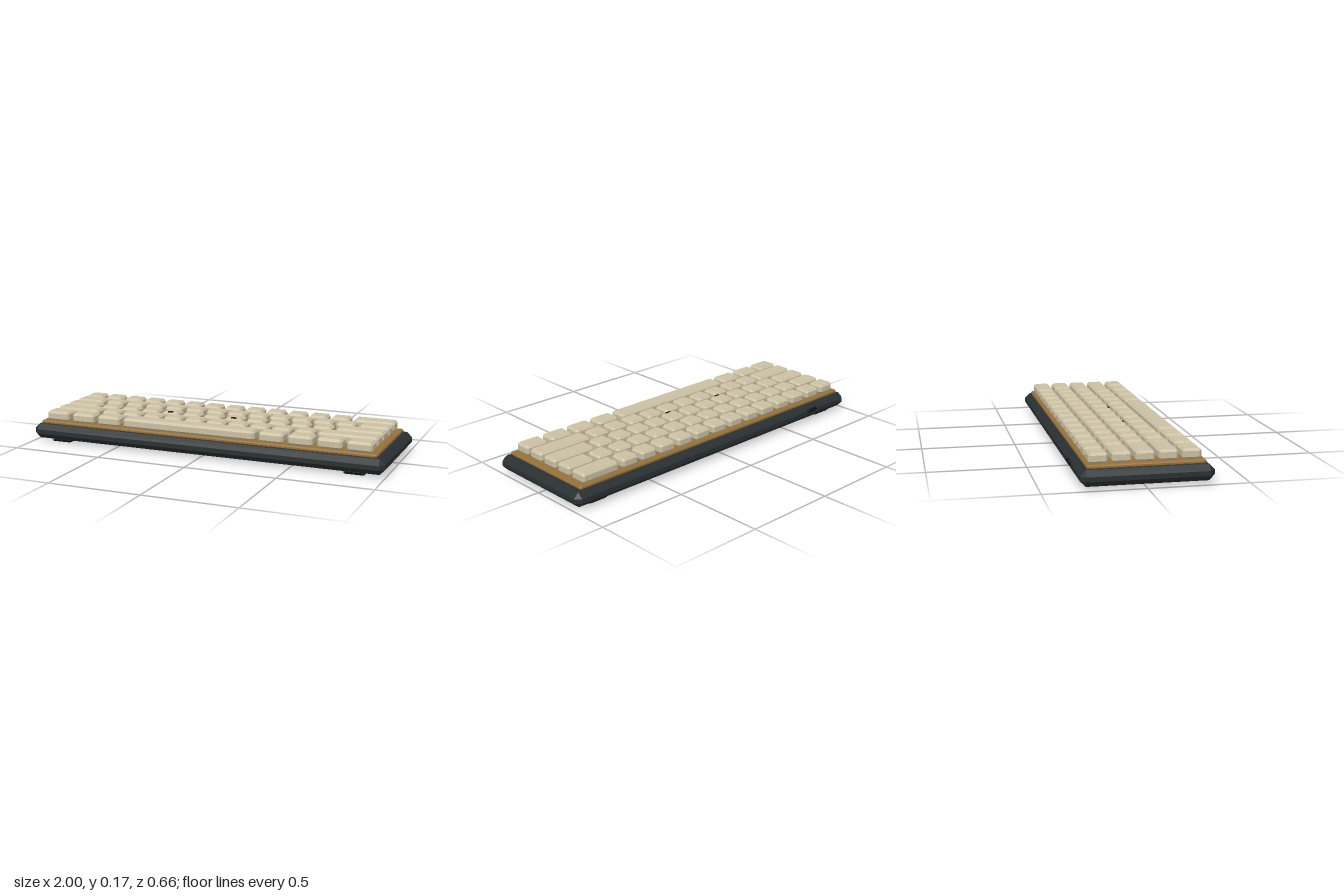
import * as THREE from 'three';
import { ConvexGeometry } from 'three/addons/geometries/ConvexGeometry.js';

const material = (color) => new THREE.MeshStandardMaterial({ color, flatShading: true });

// Box with every edge cut by a single flat chamfer c
function chamferBox(w, h, d, c) {
  const points = [];
  for (const x of [-1, 1]) for (const y of [-1, 1]) for (const z of [-1, 1]) {
    const [X, Y, Z] = [w / 2, h / 2, d / 2];
    points.push(
      new THREE.Vector3(x * X, y * (Y - c), z * (Z - c)),
      new THREE.Vector3(x * (X - c), y * Y, z * (Z - c)),
      new THREE.Vector3(x * (X - c), y * (Y - c), z * Z));
  }
  return new ConvexGeometry(points);
}

// Chamfered block given by its [min, max] range on each axis
function block(parent, name, [x0, x1], [y0, y1], [z0, z1], chamfer, mat) {
  const mesh = new THREE.Mesh(chamferBox(x1 - x0, y1 - y0, z1 - z0, chamfer), mat);
  mesh.position.set((x0 + x1) / 2, (y0 + y1) / 2, (z0 + z1) / 2);
  mesh.name = name;
  parent.add(mesh);
  return mesh;
}

export function createModel() {
  const model = new THREE.Group();
  model.name = 'keyboard';
  const caseMat = material(0x2a3032);
  const plateMat = material(0x94713c);
  const keyMat = material(0xcbc0a3);
  const blackMat = material(0x121314);

  // Case and mounting plate
  block(model, 'case', [-1, 1], [0.016, 0.096], [-0.316, 0.331], 0.028, caseMat);
  block(model, 'plate', [-0.963, 0.953], [0.094, 0.114], [-0.281, 0.295], 0.006, plateMat);

  // Four rubber feet
  for (const x of [-0.84, 0.84]) {
    for (const z of [[-0.275, -0.193], [0.214, 0.297]]) {
      block(model, 'foot', [x - 0.056, x + 0.056], [0, 0.018], z, 0.005, blackMat);
    }
  }

  // Cable socket on the rear edge
  block(model, 'socket', [-0.732, -0.664], [0.06, 0.082], [-0.33, -0.314], 0.005, blackMat);

  // Key rows from back to front, widths in key units
  const ones = (n) => Array(n).fill(1);
  const rows = [
    [...ones(13), 2],
    [1.5, ...ones(12), 1.5],
    [1.75, ...ones(11), 2.25],
    [2.25, ...ones(10), 2.75],
    [1.25, 1.25, 1.25, 6.25, 1.25, 1.25, 1.25, 1.25],
  ];
  const unit = 0.1257, gap = 0.024, left = -0.949, pitch = 0.1128, depth = 0.094;
  const keys = new THREE.Group();
  keys.name = 'keys';
  model.add(keys);
  rows.forEach((widths, r) => {
    const z = -0.2205 + r * pitch;
    let x = left;
    for (const w of widths) {
      const end = x + w * unit;
      block(keys, w > 6 ? 'spaceBar' : 'keycap', [x + gap / 2, end - gap / 2],
        [0.112, 0.165], [z - depth / 2, z + depth / 2], 0.012, keyMat);
      x = end;
    }
  });

  // Raised homing bars on two keys of the middle row
  for (const x of [-0.286, 0.091]) {
    block(keys, 'homingBar', [x - 0.016, x + 0.016], [0.162, 0.17], [0.037, 0.043], 0.001, blackMat);
  }
  return model;
}
